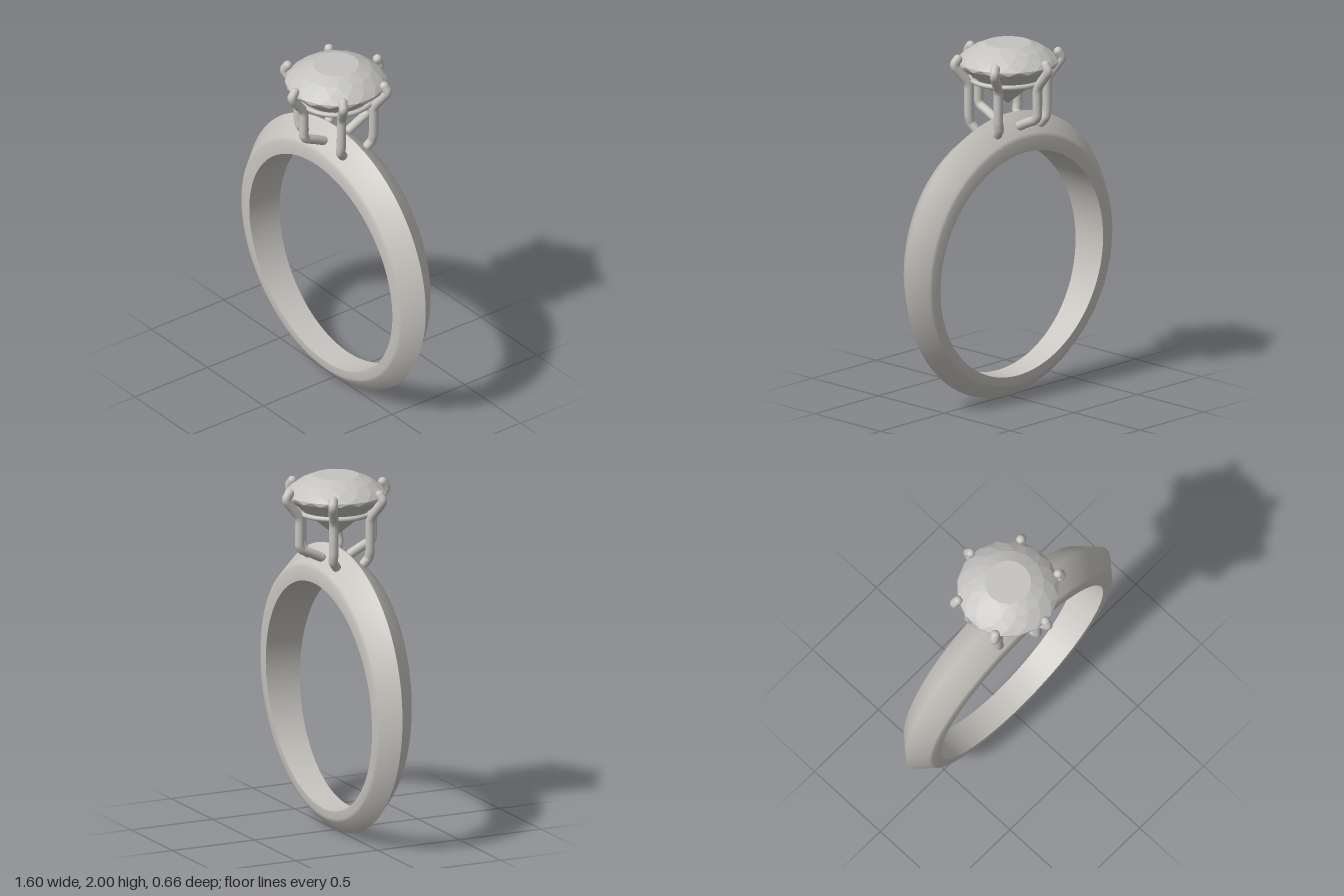
import * as THREE from 'three';
import { toCreasedNormals } from 'three/addons/utils/BufferGeometryUtils.js';

const metal = new THREE.MeshStandardMaterial({ color: 0xc8c5c0 });
metal.name = 'metal';
const stone = new THREE.MeshStandardMaterial({ color: 0xc4c3c1 });
stone.name = 'stone';

function add(parent, name, geometry, material) {
  const mesh = new THREE.Mesh(geometry, material);
  mesh.name = name;
  parent.add(mesh);
  return mesh;
}

// Knife-edge band: off-centre circles, thicker and wider towards the top
function bandGeometry() {
  const steps = 128;
  // [centre y, radius, share of half width]
  const side = [[0.765, 0.637, 1], [0.782, 0.697, 1], [0.785, 0.716, 0.93]];
  const profile = [
    ...side, [0.8, 0.8, 0],
    ...side.map(([c, r, w]) => [c, r, -w]).reverse(),
  ];
  const n = profile.length;
  const pos = [], index = [];
  for (let i = 0; i < steps; i++) {
    const a = (i / steps) * Math.PI * 2;
    for (const [c, r, w] of profile) {
      const y = c + r * Math.sin(a);
      const half = 0.075 + (y - 0.07) * 0.0423;
      pos.push(r * Math.cos(a), y, w * half);
    }
    for (let j = 0; j < n; j++) {
      const i2 = (i + 1) % steps, j2 = (j + 1) % n;
      const p = i * n + j, q = i * n + j2, s = i2 * n + j, t = i2 * n + j2;
      index.push(p, q, s, s, q, t);
    }
  }
  const g = new THREE.BufferGeometry();
  g.setAttribute('position', new THREE.Float32BufferAttribute(pos, 3));
  g.setIndex(index);
  return toCreasedNormals(g, 0.6);
}

// Faceted stone: rings from the point up to the table, each turned half a facet
function gemGeometry() {
  const n = 16;
  const rings = [
    [0, 1.655], [0.19, 1.812], [0.275, 1.882], [0.28, 1.902],
    [0.25, 1.932], [0.197, 1.97], [0.127, 2], [0, 2],
  ];
  const pos = [];
  const point = (j, k) => {
    const a = ((k + j / 2) / n) * Math.PI * 2, [r, y] = rings[j];
    return [r * Math.sin(a), y, r * Math.cos(a)];
  };
  for (let j = 0; j < rings.length - 1; j++) {
    for (let k = 0; k < n; k++) {
      if (rings[j][0] > 0) {
        pos.push(...point(j, k), ...point(j, k + 1), ...point(j + 1, k));
      }
      if (rings[j + 1][0] > 0) {
        pos.push(...point(j + 1, k), ...point(j, k + 1), ...point(j + 1, k + 1));
      }
    }
  }
  const g = new THREE.BufferGeometry();
  g.setAttribute('position', new THREE.Float32BufferAttribute(pos, 3));
  g.computeVertexNormals();
  return g;
}

// One claw running outwards along +z, with rounded ends
function makeProng(points) {
  const prong = new THREE.Group();
  const radius = 0.026;
  const path = points.map(([x, y, z]) => new THREE.Vector3(x, y, z));
  const curve = new THREE.CatmullRomCurve3(path, false, 'catmullrom', 0.25);
  add(prong, 'prongShaft', new THREE.TubeGeometry(curve, 48, radius, 12), metal);
  for (const end of [path[0], path[path.length - 1]]) {
    add(prong, 'prongEnd', new THREE.SphereGeometry(radius, 12, 8), metal).position.copy(end);
  }
  return prong;
}

export function createModel() {
  const ring = new THREE.Group();
  ring.name = 'ring';

  add(ring, 'band', bandGeometry(), metal);
  add(ring, 'gem', gemGeometry(), stone);

  // Thin rail under the stone
  const rail = add(ring, 'rail', new THREE.TorusGeometry(0.205, 0.014, 10, 64), metal);
  rail.rotation.x = Math.PI / 2;
  rail.position.y = 1.799;

  // Six claws; the shared upper part is [distance from axis, height]
  const upper = [[0.222, 1.68], [0.222, 1.765], [0.235, 1.8], [0.298, 1.88], [0.302, 1.9], [0.285, 1.926]];
  const at = (r, y, a) => [r * Math.sin(a), y, r * Math.cos(a)];
  for (let i = 0; i < 6; i++) {
    const a = (i * Math.PI) / 3;
    const sx = Math.sign(Math.round(Math.sin(a) * 10));
    const sz = Math.sign(Math.round(Math.cos(a) * 10));
    // Front and back claws reach further in to meet the band
    const foot = i % 3 === 0
      ? [[0, 1.545, sz * 0.09], [0, 1.575, sz * 0.15], [0, 1.6, sz * 0.205], [0, 1.625, sz * 0.222]]
      : [[sx * 0.17, 1.528, sz * 0.085], [sx * 0.18, 1.56, sz * 0.108], [sx * 0.19, 1.6, sz * 0.111]];
    const prong = makeProng([...foot, ...upper.map(([r, y]) => at(r, y, a))]);
    prong.name = 'prong';
    ring.add(prong);
  }
  return ring;
}
